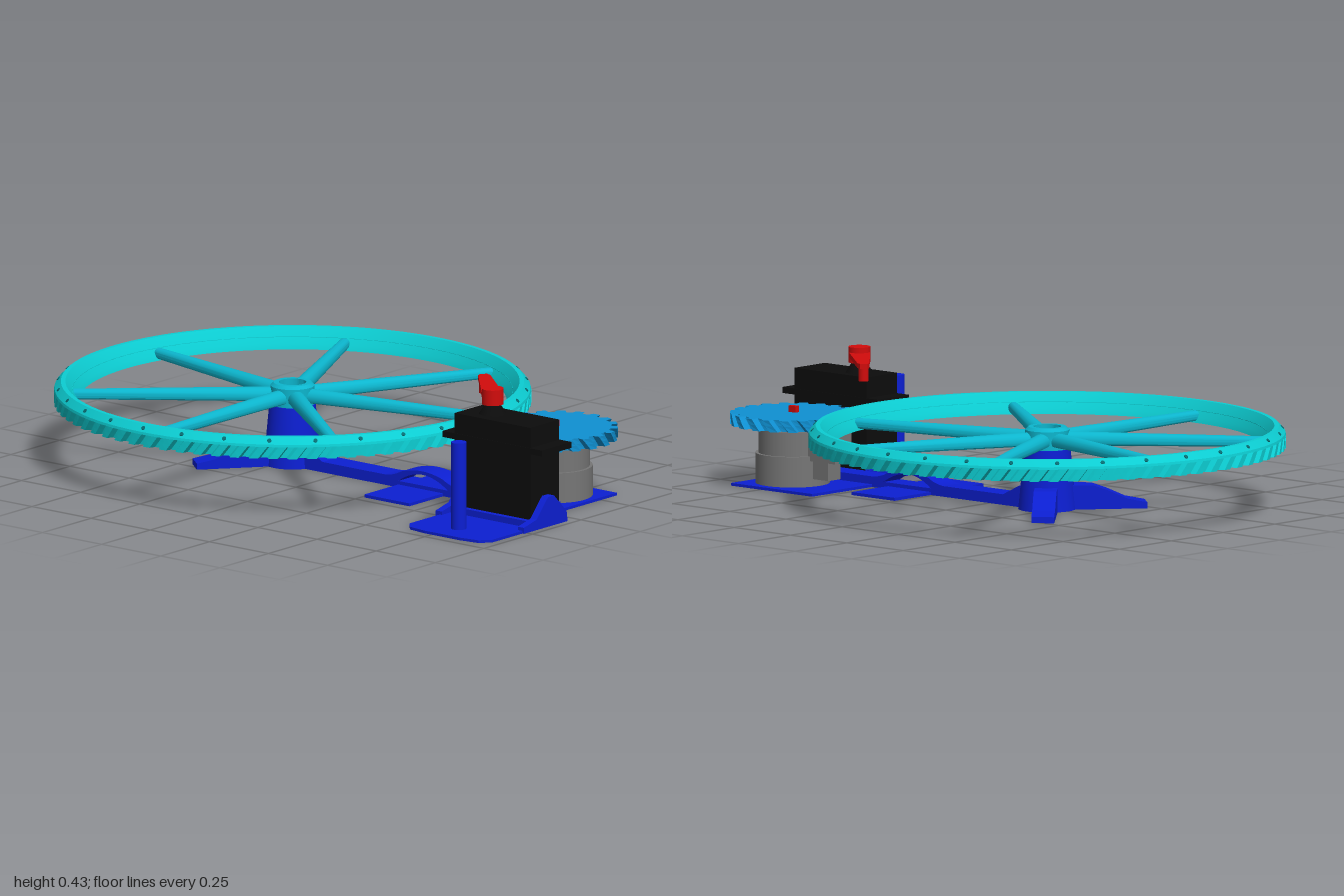
import * as THREE from 'three';
import { toCreasedNormals } from 'three/addons/utils/BufferGeometryUtils.js';

const mat = (name, color) => {
  const m = new THREE.MeshStandardMaterial({ color });
  m.name = name;
  return m;
};
const V = (a, b) => new THREE.Vector2(a, b);

export function createModel() {
  const rimMat = mat('cyan', 0x0ccdd2), spokeMat = mat('spoke cyan', 0x0cb6ce);
  const gearMat = mat('sky blue', 0x0f90d2), baseMat = mat('royal blue', 0x0c1fd2);
  const black = mat('black', 0x0c0c0c), grey = mat('grey', 0x767676);
  const red = mat('red', 0xd20c0c), dark = mat('dark teal', 0x066a70);

  const model = new THREE.Group();
  model.name = 'gearDrive';
  const add = (name, geo, m, x = 0, y = 0, z = 0, parent = model) => {
    const mesh = new THREE.Mesh(geo, m);
    mesh.name = name;
    mesh.position.set(x, y, z);
    parent.add(mesh);
    return mesh;
  };
  const box = (name, m, x0, x1, y0, y1, z0, z1) =>
    add(name, new THREE.BoxGeometry(x1 - x0, y1 - y0, z1 - z0), m, (x0 + x1) / 2, (y0 + y1) / 2, (z0 + z1) / 2);
  const lathe = (pts, seg) =>
    toCreasedNormals(new THREE.LatheGeometry(pts.map(p => V(...p)), seg), 0.5);
  // Profile in x,y, extruded symmetrically along z
  const sideCut = (shape, width) =>
    new THREE.ExtrudeGeometry(shape, { depth: width, bevelEnabled: false, curveSegments: 16 }).translate(0, 0, -width / 2);
  const poly = pts => new THREE.Shape(pts.map(p => V(...p)));

  // Gear ring with slanted teeth, lying flat from y = 0 to h
  function helicalGear(R, root, n, hole, h, twist) {
    const pts = [];
    for (let i = 0; i < n; i++) {
      for (const [f, r] of [[0, root], [0.12, R], [0.55, R], [0.67, root]]) {
        const a = (i + f) / n * Math.PI * 2;
        pts.push(V(r * Math.cos(a), r * Math.sin(a)));
      }
    }
    const shape = new THREE.Shape(pts);
    if (hole) shape.holes.push(new THREE.Path().absarc(0, 0, hole, 0, Math.PI * 2, true));
    const g = new THREE.ExtrudeGeometry(shape, { depth: h, steps: 2, bevelEnabled: false, curveSegments: 48 });
    const p = g.attributes.position;
    for (let i = 0; i < p.count; i++) {
      const a = twist * p.getZ(i) / h, c = Math.cos(a), s = Math.sin(a), x = p.getX(i), y = p.getY(i);
      p.setXY(i, x * c - y * s, x * s + y * c);
    }
    g.computeVertexNormals();
    return g.rotateX(-Math.PI / 2);
  }

  // Large spoked wheel
  const wheel = new THREE.Group();
  wheel.name = 'wheel';
  wheel.position.x = -0.22;
  model.add(wheel);
  add('wheelTeeth', helicalGear(0.78, 0.76, 76, 0.72, 0.04, 0.04), rimMat, 0, 0.205, 0, wheel);
  add('wheelRim', lathe([[0.70, 0.207], [0.745, 0.207], [0.745, 0.245], [0.78, 0.245], [0.778, 0.253],
    [0.757, 0.275], [0.742, 0.275], [0.707, 0.225], [0.70, 0.207]], 96), rimMat, 0, 0, 0, wheel);
  add('wheelHub', lathe([[0.045, 0.2], [0.072, 0.2], [0.072, 0.262], [0.062, 0.272], [0.045, 0.272], [0.045, 0.2]], 32),
    spokeMat, 0, 0, 0, wheel);

  // Tapered spokes with flat undersides
  const spoke = new THREE.CylinderGeometry(0.019, 0.029, 0.655, 16).rotateZ(-Math.PI / 2).translate(0.3875, 0, 0);
  const sp = spoke.attributes.position;
  for (let i = 0; i < sp.count; i++) sp.setY(i, Math.max(sp.getY(i), -0.015));
  const spokeGeo = toCreasedNormals(spoke, 0.7);
  for (let i = 0; i < 7; i++)
    add('spoke', spokeGeo, spokeMat, 0, 0.227, 0, wheel).rotation.y = -Math.PI / 2 + i * Math.PI * 2 / 7;

  // Small holes along the sloped rim
  const dot = new THREE.CylinderGeometry(0.007, 0.007, 0.004, 10).rotateZ(-0.8);
  for (let i = 0; i < 32; i++) {
    const a = i / 32 * Math.PI * 2;
    add('rimHole', dot, dark, 0.768 * Math.cos(a), 0.264, -0.768 * Math.sin(a), wheel).rotation.y = a;
  }

  // Pedestal with an open bore, and its two rear legs
  add('pedestal', lathe([[0.045, 0], [0.095, 0], [0.09, 0.05], [0.076, 0.2], [0.045, 0.2], [0.045, 0]], 40), baseMat, -0.22);
  const leg = sideCut(poly([[0.07, 0], [0.325, 0], [0.325, 0.02], [0.26, 0.033], [0.2, 0.06], [0.15, 0.078], [0.07, 0.08]]), 0.075);
  for (const s of [1, -1]) add('leg', leg, baseMat, -0.22).rotation.y = s * 130 * Math.PI / 180;

  // Long arm with an arched bridge
  const arm = new THREE.Shape();
  arm.moveTo(-0.15, 0);
  arm.lineTo(0.88, 0);
  arm.lineTo(0.88, 0.035);
  arm.lineTo(0.52, 0.035);
  arm.quadraticCurveTo(0.48, 0.037, 0.45, 0.055);
  arm.quadraticCurveTo(0.36, 0.085, 0.27, 0.055);
  arm.quadraticCurveTo(0.24, 0.037, 0.2, 0.035);
  arm.lineTo(-0.06, 0.035);
  arm.lineTo(-0.13, 0.07);
  arm.lineTo(-0.15, 0.07);
  const gap = new THREE.Path();
  gap.moveTo(0.26, 0.022);
  gap.quadraticCurveTo(0.36, 0.095, 0.47, 0.022);
  arm.holes.push(gap);
  add('arm', sideCut(arm, 0.08), baseMat);
  box('crossPlate', baseMat, 0.26, 0.45, 0, 0.01, -0.215, 0.215);

  // Thin foot plate with a rounded front end (outline in x, -z)
  const foot = poly([[0.52, 0.33], [0.52, -0.05], [0.62, -0.05], [0.62, -0.42], [0.65, -0.455], [0.72, -0.465],
    [0.87, -0.465], [0.94, -0.455], [0.97, -0.42], [0.97, -0.05], [0.88, -0.05], [0.88, 0.33]]);
  add('footPlate', new THREE.ExtrudeGeometry(foot, { depth: 0.009, bevelEnabled: false }).rotateX(-Math.PI / 2), baseMat);

  // Side brackets and the upright post
  const bracket = poly([[-0.265, 0], [-0.265, 0.02], [-0.2, 0.035], [-0.155, 0.085], [-0.14, 0.1],
    [-0.11, 0.1], [-0.095, 0.085], [-0.045, 0.035], [-0.04, 0]]);
  for (const x of [0.616, 0.963])
    add('bracket', sideCut(bracket, 0.026).rotateY(Math.PI / 2), baseMat, x);
  box('servoSeat', baseMat, 0.62, 0.96, 0.005, 0.03, 0.04, 0.22);
  add('post', new THREE.CylinderGeometry(0.025, 0.025, 0.3, 24), baseMat, 0.787, 0.15, 0.37);

  // Servo body
  box('servoBody', black, 0.63, 0.95, 0.03, 0.34, 0.052, 0.2);
  box('servoFlange', black, 0.58, 1.0, 0.252, 0.272, 0.05, 0.202);
  add('servoShaft', new THREE.CylinderGeometry(0.02, 0.045, 0.04, 24), black, 0.73, 0.36, 0.126);

  // Servo horn, pointing back towards the wheel
  const horn = new THREE.Group();
  horn.name = 'horn';
  horn.position.set(0.73, 0, 0.126);
  horn.rotation.y = Math.PI - Math.atan2(0.185, 0.19);
  model.add(horn);
  add('hornHub', new THREE.CylinderGeometry(0.036, 0.036, 0.052, 24), red, 0, 0.399, 0, horn);
  const hornShape = poly([[0, -0.035], [0.25, -0.02], [0.268, -0.012], [0.268, 0.012], [0.25, 0.02], [0, 0.035]]);
  add('hornArm', new THREE.ExtrudeGeometry(hornShape, { depth: 0.016, bevelEnabled: false }).rotateX(-Math.PI / 2),
    red, 0, 0.391, 0, horn);
  add('hornPin', new THREE.CylinderGeometry(0.017, 0.017, 0.055, 20), red, 0.25, 0.376, 0, horn);

  // Stepped motor with its side connector
  const mx = 0.74, mz = -0.185;
  add('motor', new THREE.CylinderGeometry(0.112, 0.112, 0.185, 40), grey, mx, 0.0975, mz);
  add('motorCollar', new THREE.CylinderGeometry(0.122, 0.122, 0.1, 40), grey, mx, 0.06, mz);
  box('motorConnector', grey, 0.515, 0.66, 0.095, 0.19, -0.225, -0.145);
  box('motorConnectorFoot', grey, 0.555, 0.66, 0.035, 0.1, -0.215, -0.155);

  // Driving gear and its flat-sided shaft
  add('pinion', helicalGear(0.208, 0.186, 20, 0, 0.038, -0.15), gearMat, mx, 0.203, -0.18);
  box('pinionShaft', red, mx - 0.015, mx + 0.015, 0.19, 0.262, -0.188, -0.17);

  return model;
}
